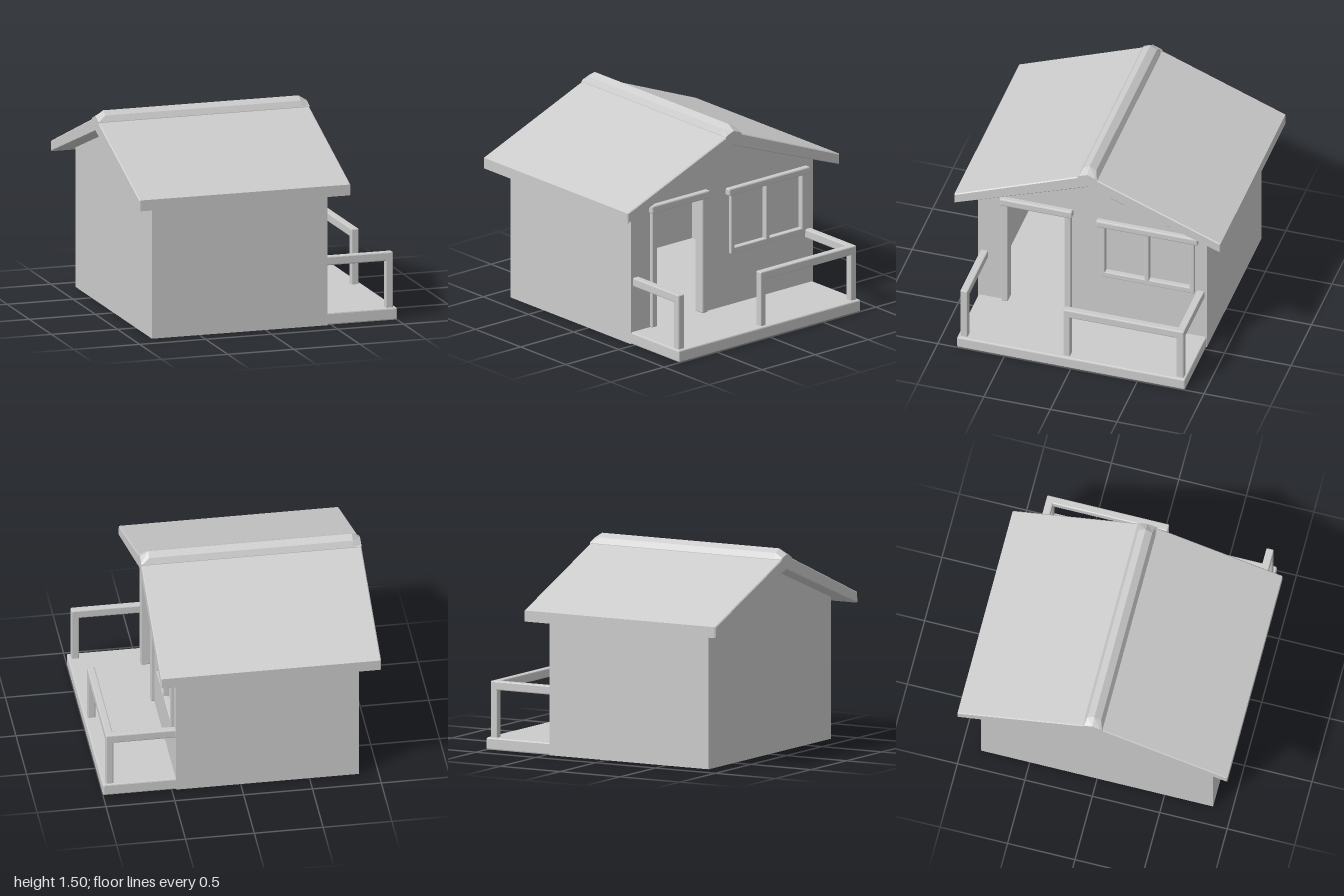
import * as THREE from 'three';
import { RoundedBoxGeometry } from 'three/addons/geometries/RoundedBoxGeometry.js';

const material = new THREE.MeshStandardMaterial({ color: 0xcccccc, flatShading: true, side: THREE.DoubleSide });

function add(parent, name, geometry) {
  const mesh = new THREE.Mesh(geometry, material);
  mesh.name = name;
  parent.add(mesh);
  return mesh;
}

// Box from min/max ranges, with an optional small bevel
function block(parent, name, [x0, x1], [y0, y1], [z0, z1], bevel = 0) {
  const size = [x1 - x0, y1 - y0, z1 - z0];
  const geometry = bevel ? new RoundedBoxGeometry(...size, 1, bevel) : new THREE.BoxGeometry(...size);
  add(parent, name, geometry).position.set((x0 + x1) / 2, (y0 + y1) / 2, (z0 + z1) / 2);
}

// Outline in (-z, y), extruded along x
function extrudeX(shape, x0, x1, bevel = 0) {
  const geometry = new THREE.ExtrudeGeometry(shape, {
    depth: x1 - x0 - 2 * bevel, bevelEnabled: bevel > 0, bevelSegments: 1,
    bevelSize: bevel, bevelThickness: bevel, bevelOffset: -bevel,
  });
  return geometry.rotateY(Math.PI / 2).translate(x0 + bevel, 0, 0);
}

const polygon = (points) => new THREE.Shape(points.map(([u, y]) => new THREE.Vector2(u, y)));
const rectangle = (u0, u1, y0, y1) => polygon([[u0, y0], [u0, y1], [u1, y1], [u1, y0]]);

// Ridge cap lofted through four sections, narrower at both ends
function ridgeGeometry() {
  const section = (x, shoulderZ, shoulderY, top) => [
    [0.075, 1.4], [0.073, 1.43], [shoulderZ, shoulderY], [0, top],
    [-shoulderZ, shoulderY], [-0.073, 1.43], [-0.075, 1.4],
  ].map(([z, y]) => [x, y, z]);
  const rings = [
    section(-1, 0.06, 1.44, 1.462), section(-0.94, 0.05, 1.472, 1.5),
    section(0.54, 0.05, 1.472, 1.5), section(0.6, 0.06, 1.44, 1.462),
  ];
  const positions = [];
  const tri = (...corners) => corners.forEach((p) => positions.push(...p));
  for (let i = 0; i < 3; i++) {
    for (let j = 0; j < 6; j++) {
      const a = rings[i][j], b = rings[i + 1][j], c = rings[i + 1][j + 1], d = rings[i][j + 1];
      tri(a, b, c);
      tri(a, c, d);
    }
  }
  for (let j = 1; j < 6; j++) {
    tri(rings[0][0], rings[0][j], rings[0][j + 1]);
    tri(rings[3][0], rings[3][j + 1], rings[3][j]);
  }
  const geometry = new THREE.BufferGeometry();
  geometry.setAttribute('position', new THREE.Float32BufferAttribute(positions, 3));
  geometry.computeVertexNormals();
  return geometry;
}

export function createModel() {
  const cabin = new THREE.Group();
  cabin.name = 'cabin';

  // Hollow house with gable walls at both ends
  const house = new THREE.Group();
  house.name = 'house';
  cabin.add(house);
  const gable = () => polygon([[-0.86, 0], [0.86, 0], [0.86, 1.03], [0, 1.35], [-0.86, 1.03]]);
  add(house, 'backGable', extrudeX(gable(), -0.86, -0.8));
  const entry = gable();
  entry.holes.push(rectangle(-0.65, -0.19, 0.09, 0.96), rectangle(0.09, 0.74, 0.5, 0.94));
  add(house, 'entryGable', extrudeX(entry, 0.41, 0.47));
  for (const s of [-1, 1]) {
    block(house, 'sideWall', [-0.8, 0.41], [0, 1.03], s > 0 ? [0.8, 0.86] : [-0.86, -0.8]);
  }
  block(house, 'floor', [-0.8, 0.41], [0, 0.09], [-0.8, 0.8]);

  // Pitched roof with ridge cap
  const roof = new THREE.Group();
  roof.name = 'roof';
  cabin.add(roof);
  const slopes = polygon([[-1, 0.98], [0, 1.35], [1, 0.98], [1, 1.06], [0, 1.455], [-1, 1.06]]);
  add(roof, 'roofSlopes', extrudeX(slopes, -1, 0.6, 0.007));
  add(roof, 'ridgeCap', ridgeGeometry());

  // Door surround
  const door = new THREE.Group();
  door.name = 'doorFrame';
  cabin.add(door);
  for (const z of [[0.155, 0.205], [0.63, 0.68]]) {
    block(door, 'doorPost', [0.41, 0.495], [0.09, 0.97], z, 0.007);
  }
  block(door, 'doorHeader', [0.41, 0.51], [0.96, 1.02], [0.145, 0.69], 0.01);

  // Window with two panes
  const window_ = new THREE.Group();
  window_.name = 'window';
  cabin.add(window_);
  for (const z of [[-0.1, -0.065], [-0.43, -0.395], [-0.77, -0.735]]) {
    block(window_, 'windowPost', [0.43, 0.495], [0.48, 0.94], z, 0.006);
  }
  block(window_, 'windowSill', [0.43, 0.495], [0.48, 0.525], [-0.77, -0.065], 0.006);
  block(window_, 'windowHeader', [0.43, 0.51], [0.93, 0.985], [-0.8, -0.035], 0.01);
  block(window_, 'pane', [0.435, 0.455], [0.5, 0.94], [-0.75, -0.08]);

  // Porch deck and railings
  const porch = new THREE.Group();
  porch.name = 'porch';
  cabin.add(porch);
  block(porch, 'deck', [0.455, 1], [0, 0.09], [-0.857, 0.857], 0.01);
  for (const z of [[0.785, 0.84], [-0.84, -0.785], [0.015, 0.065]]) {
    block(porch, 'railPost', [0.92, 0.975], [0.08, 0.5], z, 0.008);
  }
  for (const z of [[0.785, 0.84], [-0.84, -0.785]]) {
    block(porch, 'sideRail', [0.46, 0.975], [0.435, 0.5], z, 0.008);
  }
  block(porch, 'outerRail', [0.92, 0.975], [0.435, 0.5], [-0.84, 0.065], 0.008);

  return cabin;
}
